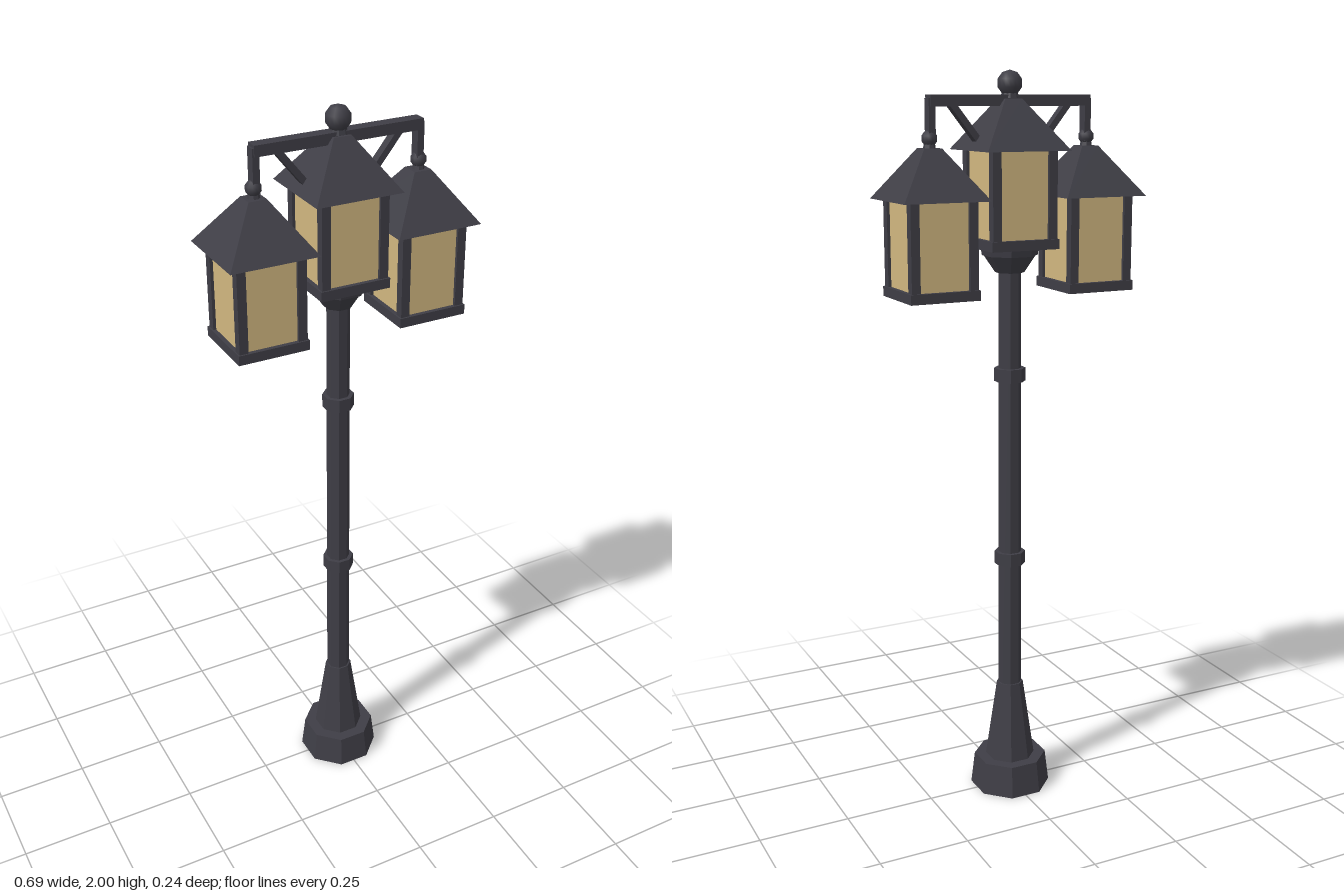
import * as THREE from 'three';

export function createModel() {
  const model = new THREE.Group();
  model.name = 'streetLamp';
  const metal = new THREE.MeshStandardMaterial({ color: 0x3f3e46 });
  metal.name = 'dark iron';
  const glass = new THREE.MeshStandardMaterial({ color: 0xd2b880 });
  glass.name = 'warm glass';

  function add(parent, name, geometry, x, y, z, material = metal) {
    const mesh = new THREE.Mesh(geometry, material);
    mesh.name = name;
    mesh.position.set(x, y, z);
    parent.add(mesh);
    return mesh;
  }

  // Faceted prism with flats facing the axes; radii are measured to the flats
  function prism(top, bottom, height, sides = 8) {
    const k = 1 / Math.cos(Math.PI / sides);
    const g = new THREE.CylinderGeometry(top * k, bottom * k, height, sides)
      .rotateY(Math.PI / sides).toNonIndexed();
    g.computeVertexNormals();
    return g;
  }
  function section(name, y0, y1, bottom, top) {
    add(model, name, prism(top, bottom, y1 - y0), 0, (y0 + y1) / 2, 0);
  }

  // Octagonal post, from the foot up
  section('foot', 0, 0.09, 0.104, 0.094);
  section('taperedPlinth', 0.09, 0.315, 0.064, 0.034);
  section('pole', 0.31, 1.5, 0.03, 0.028);
  for (const y of [0.69, 1.21]) {
    section('poleRing', y - 0.018, y + 0.018, 0.039, 0.039);
  }
  section('lanternCollar', 1.485, 1.53, 0.036, 0.064);
  section('lanternCollarRim', 1.53, 1.555, 0.068, 0.072);

  // Square lantern standing on y = 0
  function lantern(name, x, y) {
    const g = new THREE.Group();
    g.name = name;
    g.position.set(x, y, 0);
    add(g, 'tray', new THREE.BoxGeometry(0.192, 0.026, 0.192), 0, 0.013, 0);
    add(g, 'glassPanes', new THREE.BoxGeometry(0.168, 0.23, 0.168), 0, 0.139, 0, glass);
    for (const sx of [-1, 1]) {
      for (const sz of [-1, 1]) {
        add(g, 'cornerPost', new THREE.BoxGeometry(0.024, 0.232, 0.024), sx * 0.08, 0.14, sz * 0.08);
      }
    }
    add(g, 'roof', prism(0.024, 0.118, 0.128, 4), 0, 0.314, 0);
    model.add(g);
  }
  lantern('centreLantern', 0, 1.55);
  lantern('leftLantern', 0.225, 1.43);
  lantern('rightLantern', -0.225, 1.43);

  // Crossbar, finial and hangers
  add(model, 'crossbar', new THREE.BoxGeometry(0.454, 0.028, 0.034), 0, 1.924, 0);
  add(model, 'finialNeck', prism(0.016, 0.022, 0.03), 0, 1.945, 0);
  add(model, 'finial', new THREE.SphereGeometry(0.033, 16, 5), 0, 1.967, 0);
  for (const s of [-1, 1]) {
    add(model, 'hanger', new THREE.BoxGeometry(0.018, 0.11, 0.028), s * 0.222, 1.875, 0);
    add(model, 'hangerBall', new THREE.SphereGeometry(0.021, 12, 5), s * 0.225, 1.832, 0);
    add(model, 'hangerNeck', prism(0.012, 0.017, 0.03), s * 0.225, 1.81, 0);
    // Diagonal brace from the crossbar to the centre roof
    const a = new THREE.Vector2(s * 0.165, 1.915), b = new THREE.Vector2(s * 0.08, 1.81);
    const brace = add(model, 'brace', new THREE.BoxGeometry(0.017, a.distanceTo(b), 0.024),
      (a.x + b.x) / 2, (a.y + b.y) / 2, 0);
    brace.rotation.z = Math.atan2(b.x - a.x, a.y - b.y);
  }
  return model;
}
